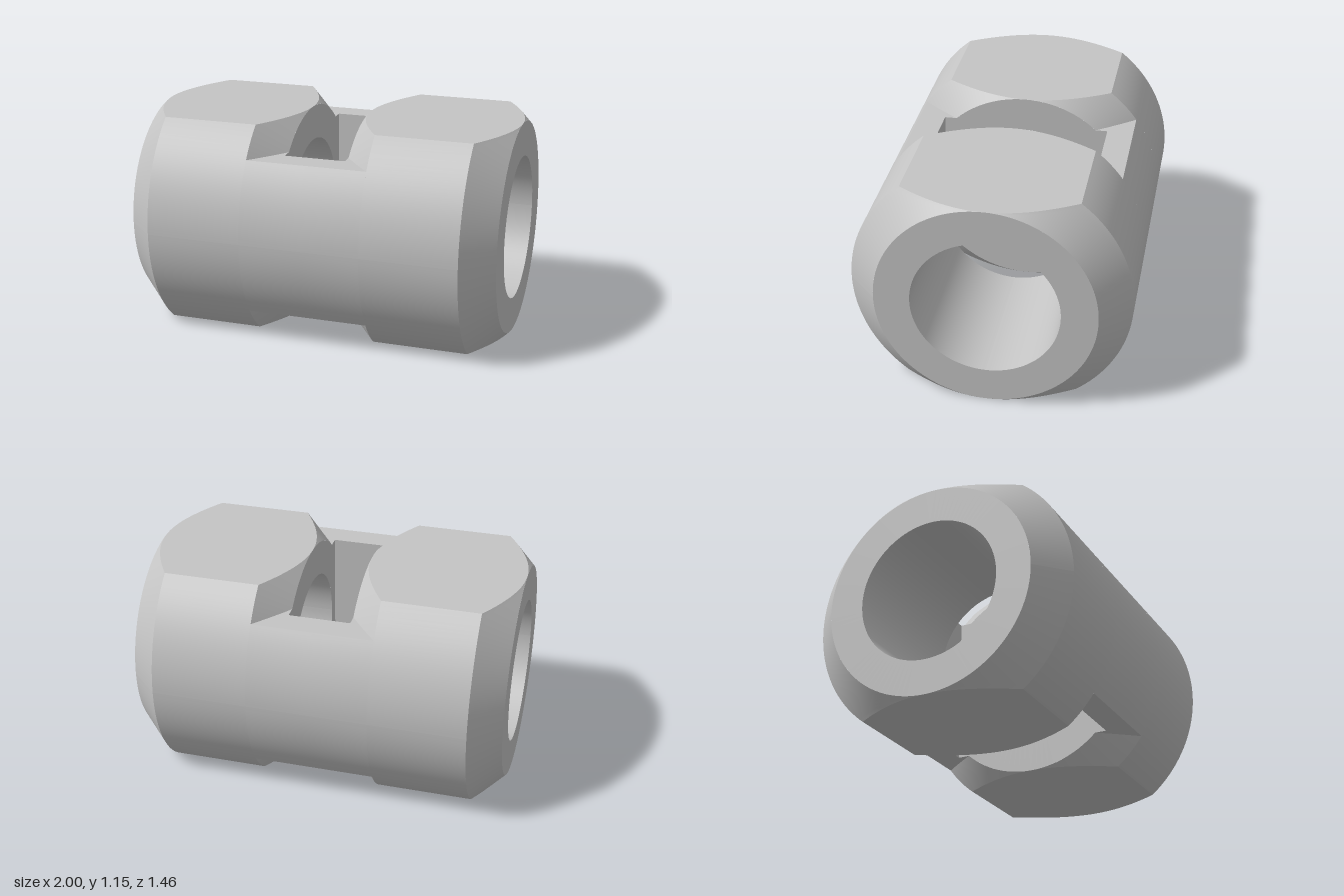
import * as THREE from 'three';
import { mergeGeometries } from 'three/addons/utils/BufferGeometryUtils.js';

const H = 0.573;    // half height between the flats, also radius of the end faces
const R = 0.73;     // barrel radius
const BORE = 0.385; // bore radius
const FLOOR = 0.42; // slot floor, above the axis
const SLOT = 0.165; // half width of the slot
const WIN = 0.455;  // half depth of the through window
const CH = 0.84;    // start of the end chamfer
const CONE = 0.325; // slot half width at the barrel surface

const lerp = THREE.MathUtils.lerp;
const polar = (x, r, a) => [x, r * Math.sin(a), r * Math.cos(a)];

// Radius along the axis: slot cone, barrel, end chamfer
function radius(x) {
  if (x < CONE) return lerp(H, R, (x - SLOT) / (CONE - SLOT));
  if (x > CH) return lerp(R, H, (x - CH) / (1 - CH));
  return R;
}
const chord = (r, y) => Math.sqrt(Math.max(0, r * r - y * y));
const angleAt = (r, y) => Math.asin(Math.min(1, y / r));

// Grid surface f(u, v), facing du x dv, mirrored into all eight octants
function patch(f, nu, nv) {
  const copies = [];
  for (const sx of [1, -1]) for (const sy of [1, -1]) for (const sz of [1, -1]) {
    const pos = [], index = [];
    for (let i = 0; i <= nu; i++) for (let j = 0; j <= nv; j++) {
      const [x, y, z] = f(i / nu, j / nv);
      pos.push(x * sx, y * sy, z * sz);
    }
    for (let i = 0; i < nu; i++) for (let j = 0; j < nv; j++) {
      const a = i * (nv + 1) + j, b = a + nv + 1;
      if (sx * sy * sz > 0) index.push(a, b, b + 1, a, b + 1, a + 1);
      else index.push(a, b + 1, b, a, a + 1, b + 1);
    }
    const g = new THREE.BufferGeometry();
    g.setAttribute('position', new THREE.Float32BufferAttribute(pos, 3));
    g.setIndex(index);
    g.computeVertexNormals();
    copies.push(g);
  }
  return mergeGeometries(copies);
}

export function createModel() {
  const group = new THREE.Group();
  const steel = new THREE.MeshStandardMaterial({ color: 0xc4c4c4 });
  steel.name = 'steel grey';
  const add = (name, ...patches) => {
    const mesh = new THREE.Mesh(mergeGeometries(patches), steel);
    mesh.name = name;
    mesh.position.y = H;
    group.add(mesh);
  };

  // Steps bunched towards the tips, where the flats narrow to a point
  const endX = (u) => 1 - (1 - CH) * (1 - u) ** 2;
  const slotX = (u) => SLOT + (CONE - SLOT) * u * u;
  const barrelX = (u) => lerp(CONE, CH, u);
  const zOut = chord(R, FLOOR);

  // Round sides, with a lower band passing the slot
  add('barrel',
    patch((u, v) => polar(lerp(0, CONE, u), R, v * angleAt(R, FLOOR)), 1, 16),
    patch((u, v) => polar(barrelX(u), R, v * angleAt(R, H)), 1, 24));

  add('endChamfers', patch((u, v) => {
    const x = endX(u), r = radius(x);
    return polar(x, r, v * angleAt(r, H));
  }, 14, 24));

  add('endFaces', patch((u, v) => polar(1, lerp(H, BORE, u), v * Math.PI / 2), 1, 28));

  add('bore', patch((u, v) => polar(lerp(SLOT, 1, u), BORE, (1 - v) * Math.PI / 2), 1, 28));

  // Top and bottom flats with curved ends
  add('flats', ...[[slotX, 14], [barrelX, 1], [endX, 14]].map(([fx, n]) =>
    patch((u, v) => {
      const x = fx(u);
      return [x, H, (1 - v) * chord(radius(x), H)];
    }, n, 1)));

  // Conical flanks of the slot
  add('slotChamfers', patch((u, v) => {
    const x = slotX(u), r = radius(x);
    return polar(x, r, lerp(angleAt(r, FLOOR), angleAt(r, H), v));
  }, 14, 16));

  add('slotFloors',
    patch((u, v) => [u * SLOT, FLOOR, lerp(zOut, WIN, v)], 1, 1),
    patch((u, v) => {
      const x = slotX(u);
      return [x, FLOOR, lerp(zOut, chord(radius(x), FLOOR), v)];
    }, 14, 1));

  // Flat walls around the bore inside the slot
  const corner = Math.atan2(FLOOR, WIN), shoulder = angleAt(H, FLOOR);
  const wall = (a0, a1, outer) => patch((u, v) => {
    const a = lerp(a0, a1, v);
    return polar(SLOT, lerp(BORE, outer(a), u), a);
  }, 1, 12);
  add('slotWalls',
    wall(0, corner, (a) => WIN / Math.cos(a)),
    wall(corner, shoulder, (a) => FLOOR / Math.sin(a)),
    wall(shoulder, Math.PI / 2, () => H));

  add('windowSides', patch((u, v) => [u * SLOT, (1 - v) * FLOOR, WIN], 1, 1));

  return group;
}
